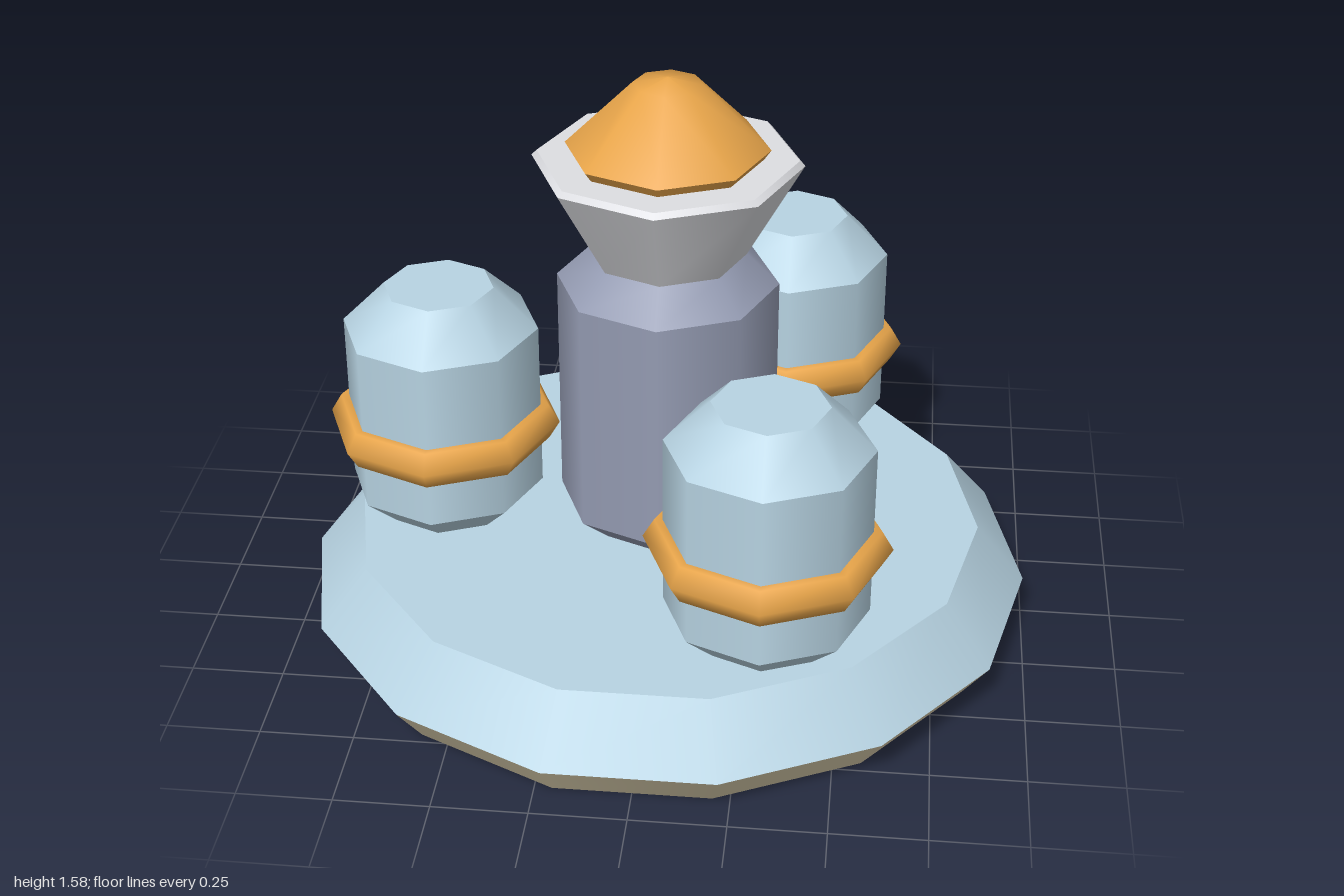
import * as THREE from 'three';

const mat = (name, color) => {
  const m = new THREE.MeshStandardMaterial({ color });
  m.name = name;
  return m;
};

export function createModel() {
  const paleBlue = mat('paleBlue', 0xb8d4e3);
  const slate = mat('slate', 0x959cb3);
  const lightGrey = mat('lightGrey', 0xdddee2);
  const amber = mat('amber', 0xe8a54a);
  const sand = mat('sand', 0xdcd0ae);
  const charcoal = mat('charcoal', 0x7e8191);

  const part = (parent, name, geometry, material) => {
    const mesh = new THREE.Mesh(geometry, material);
    mesh.name = name;
    parent.add(mesh);
    return mesh;
  };

  // Stack of open bands, each smooth around but sharp against the next;
  // profile is a list of [radius, y] from bottom to top
  const stack = (parent, name, profile, sides, material) => {
    const group = new THREE.Group();
    group.name = name;
    for (let i = 0; i < profile.length - 1; i++) {
      const [r0, y0] = profile[i];
      const [r1, y1] = profile[i + 1];
      const band = new THREE.CylinderGeometry(r1, r0, y1 - y0, sides, 1, true);
      part(group, name + 'Band' + (i + 1), band.translate(0, (y0 + y1) / 2, 0), material);
    }
    parent.add(group);
    return group;
  };

  // Flat polygon facing up or down
  const cap = (parent, name, radius, y, sides, material, down = false) => {
    const g = new THREE.CircleGeometry(radius, sides).rotateX(down ? Math.PI / 2 : -Math.PI / 2);
    return part(parent, name, g.translate(0, y, 0), material);
  };

  const model = new THREE.Group();
  model.name = 'tankStation';

  // Fourteen-sided base with bevelled rims, corners on the x axis
  const base = new THREE.Group();
  base.name = 'base';
  model.add(base);
  stack(base, 'lowerRim', [[0.92, 0], [1, 0.11]], 14, sand).rotation.y = Math.PI / 2;
  stack(base, 'upperRim', [[1, 0.11], [0.865, 0.272]], 14, paleBlue).rotation.y = Math.PI / 2;
  cap(base, 'deck', 0.865, 0.272, 14, paleBlue);
  cap(base, 'underside', 0.92, 0, 14, charcoal, true);

  // Central column
  const column = stack(model, 'column', [[0.21, 0.272], [0.297, 0.35], [0.297, 1.005], [0.21, 1.09]], 8, slate);
  cap(column, 'columnTop', 0.21, 1.09, 8, slate);

  // Flared collar with a thin bevelled lip
  const collar = stack(model, 'collar', [[0.21, 1.09], [0.356, 1.35], [0.342, 1.364]], 8, lightGrey);
  cap(collar, 'collarTop', 0.342, 1.364, 8, lightGrey);

  // Faceted dome on the collar
  const dome = stack(model, 'dome', [[0.25, 1.364], [0.268, 1.39]], 8, amber);
  const domeProfile = [[0.268, 1.39], [0.09, 1.565], [0, 1.583]].map(([x, y]) => new THREE.Vector2(x, y));
  part(dome, 'domeCrown', new THREE.LatheGeometry(domeProfile, 8), amber);

  // Three tanks with hoops, evenly spaced around the column
  for (let i = 0; i < 3; i++) {
    const a = Math.PI + (i * Math.PI * 2) / 3;
    const tank = stack(model, 'tank' + (i + 1),
      [[0.18, 0.272], [0.268, 0.356], [0.268, 0.834], [0.15, 0.952]], 8, paleBlue);
    cap(tank, 'tankTop', 0.15, 0.952, 8, paleBlue);
    const hoop = new THREE.TorusGeometry(0.26, 0.06, 6, 8).rotateX(Math.PI / 2);
    part(tank, 'tankHoop', hoop.translate(0, 0.543, 0), amber);
    tank.position.set(Math.cos(a) * 0.62, 0, Math.sin(a) * 0.62);
  }

  return model;
}
